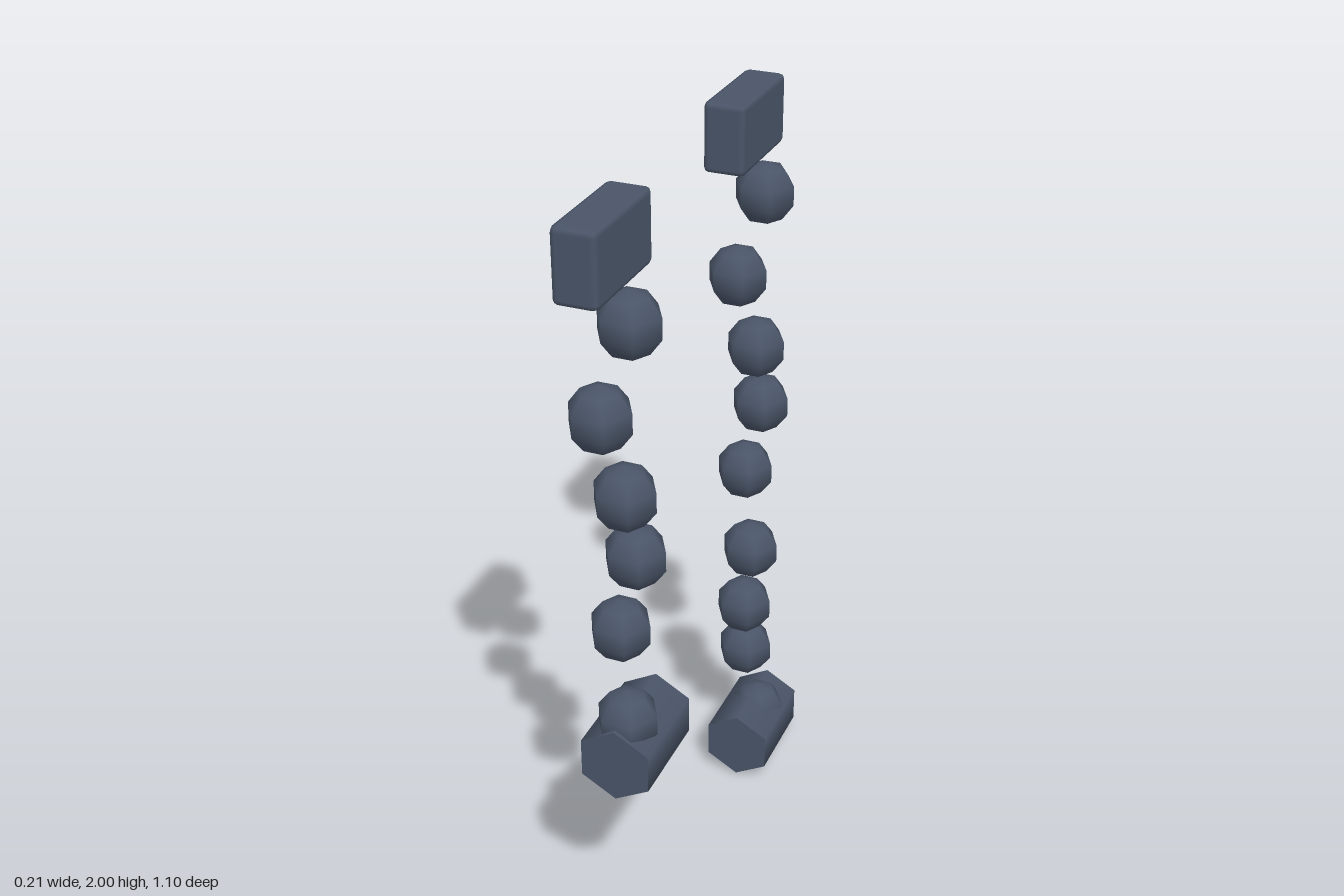
import * as THREE from 'three';
import { RoundedBoxGeometry } from 'three/addons/geometries/RoundedBoxGeometry.js';

export function createModel() {
  const model = new THREE.Group();
  model.name = 'hangingChains';
  const slate = new THREE.MeshStandardMaterial({ color: 0x4a5568 });
  slate.name = 'slate';

  const mountGeo = new RoundedBoxGeometry(0.106, 0.175, 0.286, 1, 0.015);
  const beadGeo = new THREE.SphereGeometry(0.08, 6, 5);
  const weightGeo = new THREE.CylinderGeometry(0.1, 0.1, 0.25, 6).rotateX(Math.PI / 2);

  // Sideways sway of each bead, from the top down: [x, z]
  const sway = [
    [0.012, -0.019], [-0.029, 0.052], [0.014, 0.028], [0.004, -0.044], [-0.029, -0.024],
    [0.018, 0.05], [-0.004, 0.033], [-0.025, -0.041], [0.022, -0.03],
  ];

  const add = (parent, name, geo, x, y, z) => {
    const mesh = new THREE.Mesh(geo, slate);
    mesh.name = name;
    mesh.position.set(x, y, z);
    parent.add(mesh);
  };

  // One chain: mounting block, swaying beads, hexagonal weight
  const addChain = (name, side, beadCount, weightY) => {
    const chain = new THREE.Group();
    chain.name = name;
    add(chain, 'mountBlock', mountGeo, -0.037, 1.9125, side * 0.407);
    for (let i = 0; i < beadCount; i++) {
      const [x, z] = sway[i];
      add(chain, 'bead' + (i + 1), beadGeo, x, 1.735 - i * 0.2, side * 0.407 + z);
    }
    add(chain, 'hexWeight', weightGeo, 0.015, weightY, side * 0.407);
    model.add(chain);
  };

  addChain('frontChain', 1, 6, 0.645);
  addChain('backChain', -1, 9, 0.1);
  return model;
}
